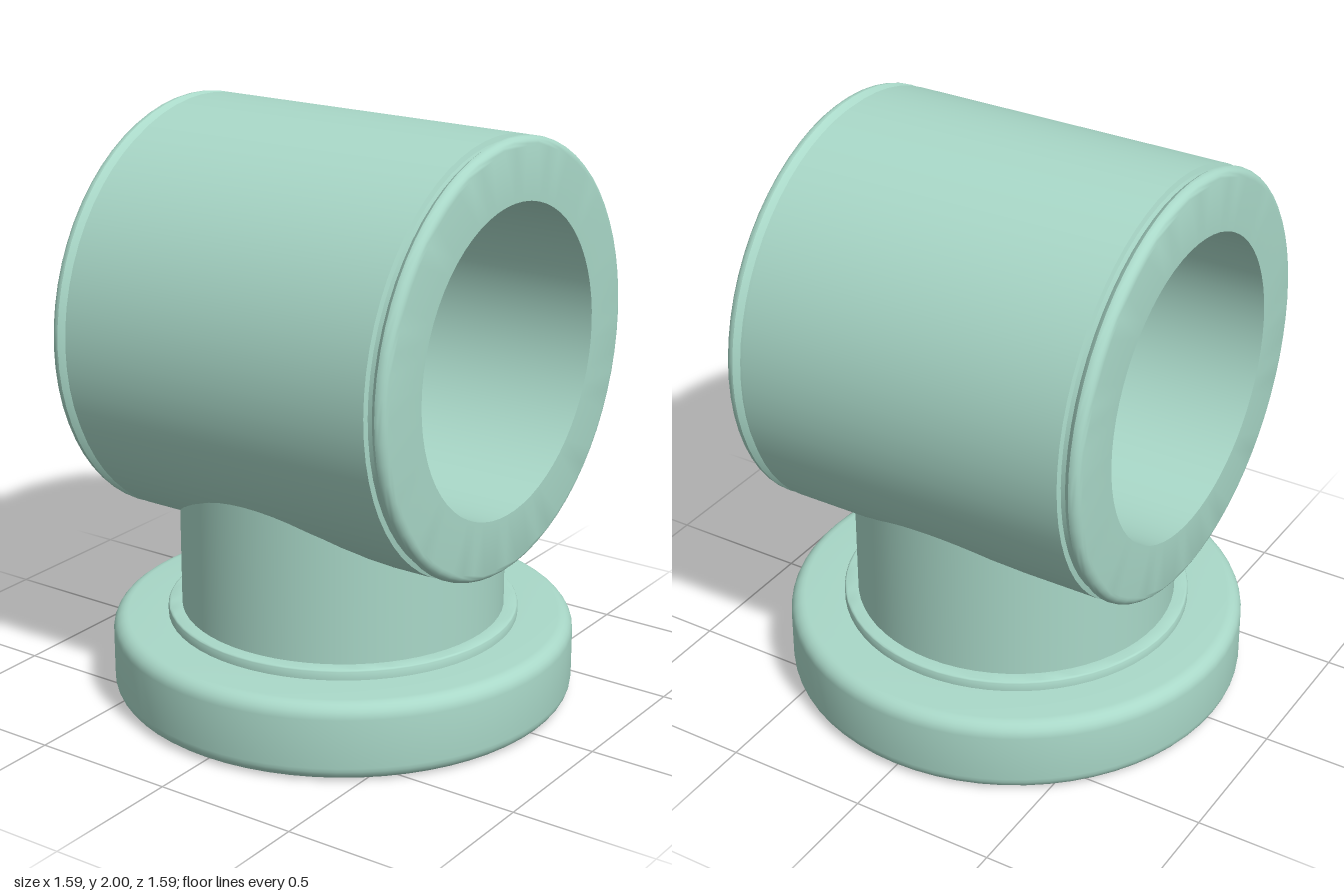
import * as THREE from 'three';
import { toCreasedNormals } from 'three/addons/utils/BufferGeometryUtils.js';

const SEGMENTS = 64;
const AXIS_Y = 1.275; // height of the cross tube's axis

// Points of a quarter-round corner, from angle a0 to a1 in degrees
function corner(cx, cy, r, a0, a1, steps = 6) {
  return Array.from({ length: steps + 1 }, (_, i) => {
    const a = THREE.MathUtils.degToRad(a0 + ((a1 - a0) * i) / steps);
    return [cx + r * Math.cos(a), cy + r * Math.sin(a)];
  });
}

export function createModel() {
  const group = new THREE.Group();
  const material = new THREE.MeshStandardMaterial({ color: 0xa9d8c8, side: THREE.DoubleSide });

  function add(name, geometry) {
    const mesh = new THREE.Mesh(geometry, material);
    mesh.name = name;
    group.add(mesh);
    return mesh;
  }
  function lathe(profile) {
    const points = profile.map(([r, y]) => new THREE.Vector2(r, y));
    return toCreasedNormals(new THREE.LatheGeometry(points, SEGMENTS), 0.6);
  }

  // Cross tube: open bore, rounded end rims and a narrow groove near each end
  const R = 0.725, half = 0.655, bore = 0.52;
  const upper = [
    [R, 0.583], [R - 0.016, 0.588], [R - 0.016, 0.603], [R - 0.008, 0.611],
    [R, 0.622], ...corner(R - 0.03, half - 0.03, 0.03, 0, 90), [bore, half],
  ];
  const lower = upper.map(([r, y]) => [r, -y]).reverse();
  const tube = add('crossTube', lathe([...lower, ...upper, [bore, -half]]));
  tube.rotation.z = -Math.PI / 2;
  tube.position.y = AXIS_Y;

  // Stem: hollow, its top edge trimmed to a saddle just inside the tube wall
  const stemRadius = 0.557, stemBase = 0.27;
  const stemGeometry = new THREE.CylinderGeometry(stemRadius, stemRadius, 1, SEGMENTS, 1, true);
  const pos = stemGeometry.attributes.position;
  for (let i = 0; i < pos.count; i++) {
    const z = pos.getZ(i);
    const saddle = AXIS_Y - Math.sqrt(0.71 ** 2 - z * z);
    pos.setY(i, pos.getY(i) > 0 ? saddle : stemBase);
  }
  add('stem', stemGeometry);

  // Collar: thin ring where the stem meets the base
  add('collar', lathe([
    [stemRadius, 0.27], [0.605, 0.27],
    ...corner(0.595, 0.295, 0.01, 0, 90, 4), [stemRadius, 0.305],
  ]));

  // Base flange: rounded hollow cap, open underneath
  add('baseFlange', lathe([
    [0.735, 0],
    ...corner(0.745, 0.05, 0.05, -90, 0),
    ...corner(0.745, 0.22, 0.05, 0, 90),
    [stemRadius, 0.27],
  ]));

  return group;
}
